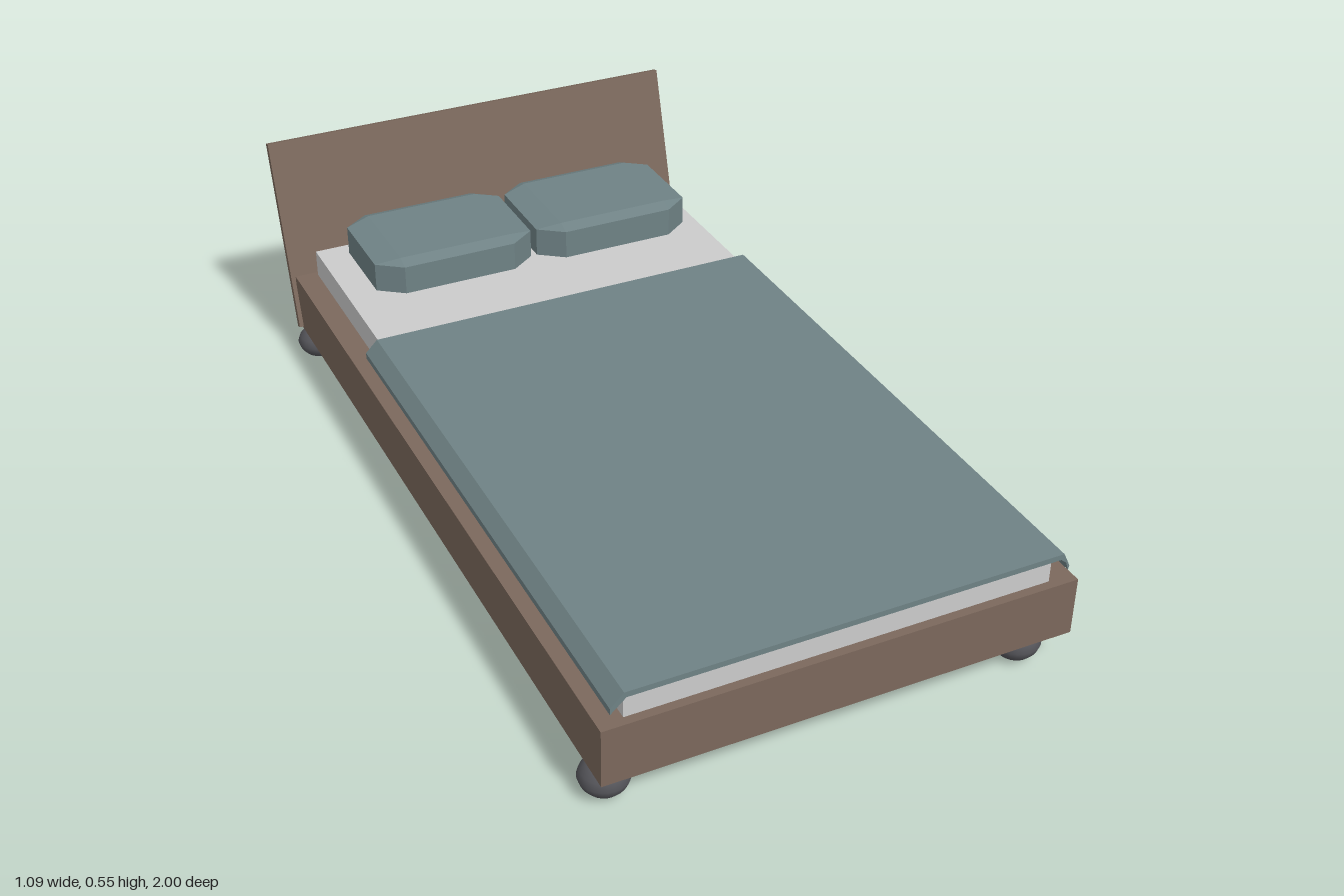
import * as THREE from 'three';
import { ConvexGeometry } from 'three/addons/geometries/ConvexGeometry.js';

const material = (color, extra = {}) => {
  const m = new THREE.MeshStandardMaterial(extra);
  m.color.set(color);
  return m;
};

const wood = material(0x7b685c);
const linen = material(0xcccccc);
const fabric = material(0x6f8285, { flatShading: true });
const dark = material(0x55555a);

function addMesh(parent, name, geometry, mat) {
  const mesh = new THREE.Mesh(geometry, mat);
  mesh.name = name;
  parent.add(mesh);
  return mesh;
}

// Box given by its limits on each axis
function addBox(parent, name, mat, [x0, x1], [y0, y1], [z0, z1]) {
  const mesh = addMesh(parent, name, new THREE.BoxGeometry(x1 - x0, y1 - y0, z1 - z0), mat);
  mesh.position.set((x0 + x1) / 2, (y0 + y1) / 2, (z0 + z1) / 2);
  return mesh;
}

// Cushion with cut corners, straight sides and a slightly raised top
function pillowGeometry() {
  const hx = 0.206, hz = 0.151, cutX = 0.062, cutZ = 0.045;
  const points = [];
  for (const sx of [-1, 1]) {
    for (const sz of [-1, 1]) {
      for (const y of [0, 0.072]) {
        points.push(new THREE.Vector3(sx * hx, y, sz * (hz - cutZ)));
        points.push(new THREE.Vector3(sx * (hx - cutX), y, sz * hz));
      }
      points.push(new THREE.Vector3(sx * (hx - cutX), 0.084, sz * (hz - 0.03)));
    }
  }
  return new ConvexGeometry(points);
}

// Flattened bun foot standing on y = 0
function footGeometry() {
  const lower = [[0, 0], [0.011, 0.001], [0.022, 0.004], [0.037, 0.013], [0.048, 0.026], [0.054, 0.0425]];
  const upper = lower.slice(0, -1).reverse().map(([r, y]) => [r, 0.085 - y]);
  return new THREE.LatheGeometry([...lower, ...upper].map(([r, y]) => new THREE.Vector2(r, y)), 24);
}

export function createModel() {
  const bed = new THREE.Group();
  bed.name = 'bed';

  // Base and mattress
  addBox(bed, 'frame', wood, [-0.53, 0.535], [0.085, 0.222], [-0.88, 1]);
  addBox(bed, 'mattress', linen, [-0.475, 0.477], [0.2, 0.289], [-0.866, 0.98]);

  // Headboard leaning backwards
  const headboard = addMesh(bed, 'headboard', new THREE.BoxGeometry(1.083, 0.48, 0.018), wood);
  headboard.position.set(0.001, 0.319, -0.924);
  headboard.rotation.x = -0.285;

  // Blanket: folded cross-section drawn along the bed
  const section = new THREE.Shape([
    [-0.509, 0.252], [-0.475, 0.283], [0.489, 0.283], [0.502, 0.272], [0.509, 0.252],
    [0.511, 0.263], [0.495, 0.296], [-0.48, 0.296], [-0.509, 0.267],
  ].map(([x, y]) => new THREE.Vector2(x, y)));
  const blanket = addMesh(bed, 'blanket',
    new THREE.ExtrudeGeometry(section, { depth: 1.373, bevelEnabled: false }), fabric);
  blanket.position.z = -0.378;

  // Pillows
  const pillow = pillowGeometry();
  [['rightPillow', -0.194], ['leftPillow', 0.234]].forEach(([name, x]) => {
    addMesh(bed, name, pillow, fabric).position.set(x, 0.289, -0.718);
  });

  // Feet
  const foot = footGeometry();
  [
    ['frontRightFoot', -0.492, 0.928],
    ['frontLeftFoot', 0.454, 0.928],
    ['backRightFoot', -0.492, -0.85],
    ['backLeftFoot', 0.484, -0.787],
  ].forEach(([name, x, z]) => addMesh(bed, name, foot, dark).position.set(x, 0, z));

  return bed;
}
